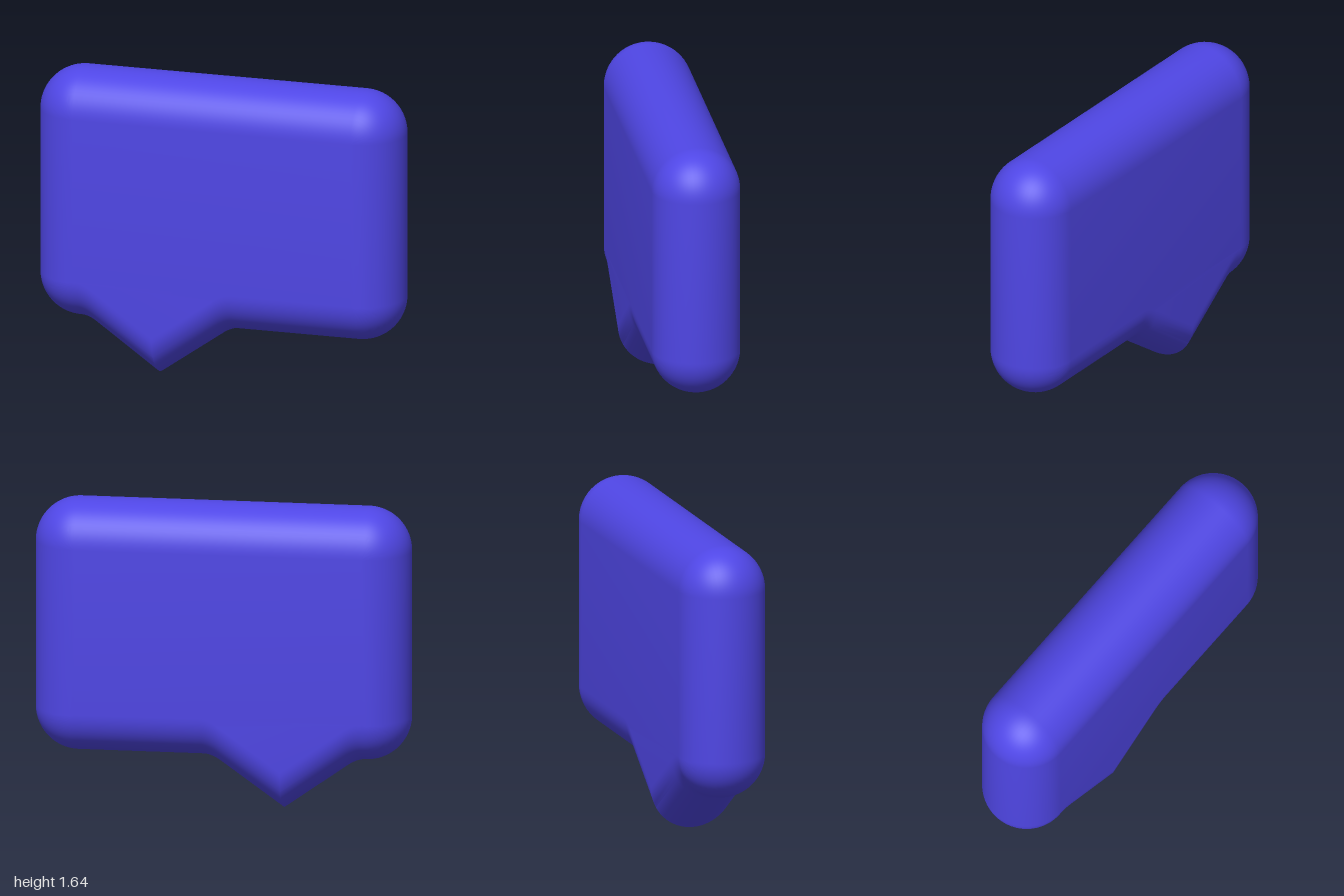
import * as THREE from 'three';
import { toCreasedNormals } from 'three/addons/utils/BufferGeometryUtils.js';

const R = 0.235;          // half thickness and edge rounding
const BOTTOM = 0.275;     // underside of the bubble body
const TOP = 1.64;
const TIP_X = -0.33;      // centre line of the tail

// Outline points, counter-clockwise, each with the direction it rounds inward from.
function bubbleOutline() {
  const points = [];
  const add = (x, y, nx, ny) => points.push({ x, y, nx, ny });

  const corner = (cx, cy, start) => {
    const steps = 20;
    for (let i = 0; i <= steps; i++) {
      const a = start + (i / steps) * Math.PI / 2;
      add(cx + R * Math.cos(a), cy + R * Math.sin(a), Math.cos(a), Math.sin(a));
    }
  };

  // Soft inner corner where the tail leaves the body; side is -1 or 1
  const fillet = (side) => {
    const curve = new THREE.QuadraticBezierCurve(
      new THREE.Vector2(TIP_X + side * 0.43, BOTTOM),
      new THREE.Vector2(TIP_X + side * 0.385, BOTTOM),
      new THREE.Vector2(TIP_X + side * 0.33, 0.235)
    );
    const pts = curve.getPoints(10);
    if (side > 0) pts.reverse();
    pts.forEach((p) => add(p.x, p.y, 0, -1));
  };

  corner(1 - R, BOTTOM + R, -Math.PI / 2);
  corner(1 - R, TOP - R, 0);
  corner(-1 + R, TOP - R, Math.PI / 2);
  corner(-1 + R, BOTTOM + R, Math.PI);
  fillet(-1);
  add(TIP_X, 0, 0, -1);
  fillet(1);
  return points;
}

// Rings of the outline follow a half circle from back to front, closed by flat faces.
function pillowGeometry(outline, rings) {
  const n = outline.length;
  const positions = [];
  const index = [];
  for (let j = 0; j <= rings; j++) {
    const a = (j / rings - 0.5) * Math.PI;
    const inset = R * (1 - Math.cos(a));
    for (const p of outline) {
      positions.push(p.x - p.nx * inset, p.y - p.ny * inset, R * Math.sin(a));
    }
  }
  for (let j = 0; j < rings; j++) {
    for (let i = 0; i < n; i++) {
      const a = j * n + i;
      const b = j * n + (i + 1) % n;
      index.push(a, b, b + n, a, b + n, a + n);
    }
  }

  // Flat front and back faces
  const face = outline.map((p) => new THREE.Vector2(p.x - p.nx * R, p.y - p.ny * R));
  const last = rings * n;
  for (const [a, b, c] of THREE.ShapeUtils.triangulateShape(face, [])) {
    index.push(last + a, last + b, last + c, a, c, b);
  }

  const geometry = new THREE.BufferGeometry();
  geometry.setAttribute('position', new THREE.Float32BufferAttribute(positions, 3));
  geometry.setIndex(index);
  return toCreasedNormals(geometry, 0.6);
}

export function createModel() {
  const group = new THREE.Group();
  group.name = 'speechBubble';
  const material = new THREE.MeshStandardMaterial({ color: 0x4f46e5 });
  const bubble = new THREE.Mesh(pillowGeometry(bubbleOutline(), 32), material);
  bubble.name = 'bubbleWithTail';
  group.add(bubble);
  return group;
}
